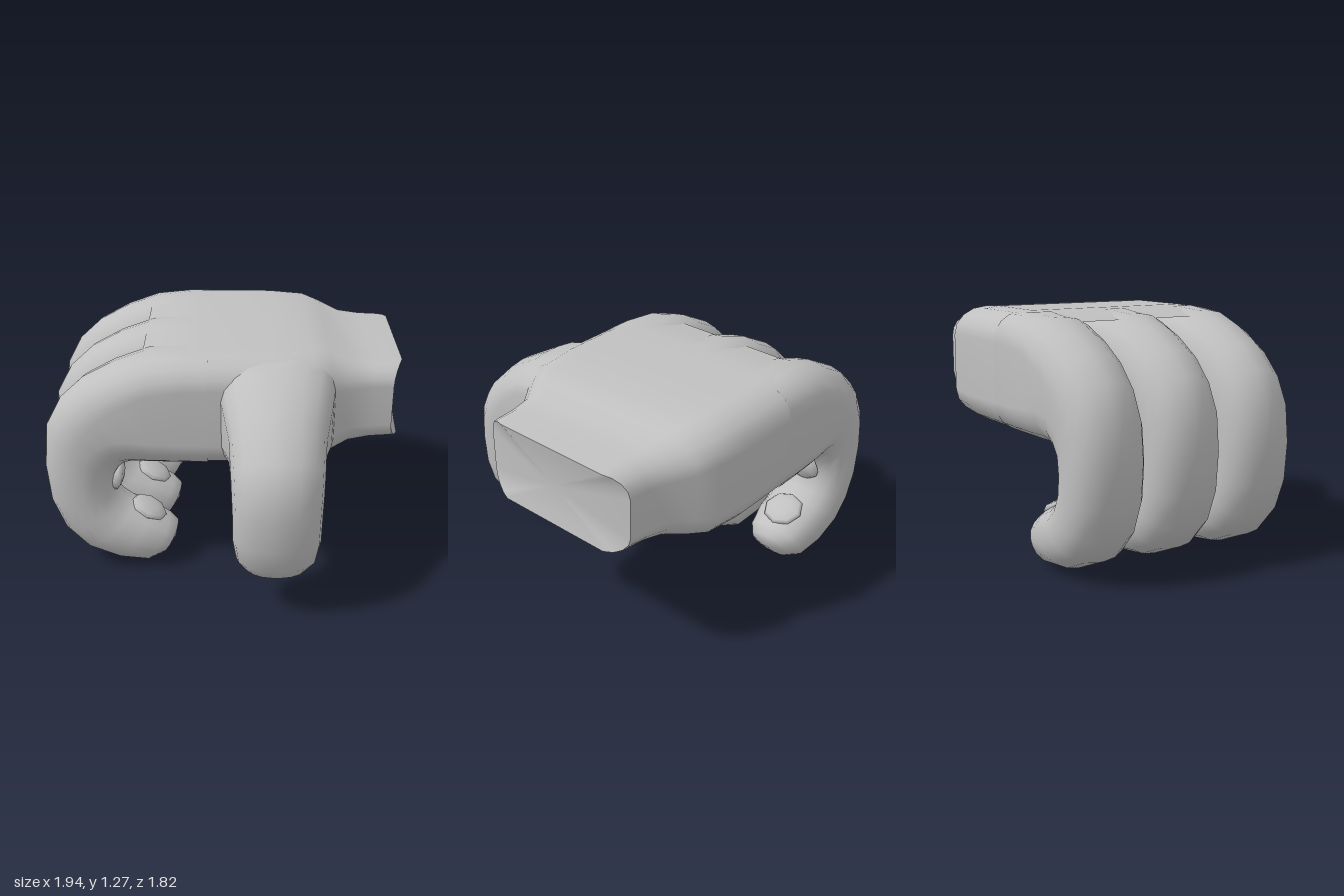
import * as THREE from 'three';

const V = (x, y, z) => new THREE.Vector3(x, y, z);
const ARC = 4; // segments per rounded corner

// Rounded cross-section: centre c, half axes u and v, corner fractions fu and fv
function ring({ c, u, v, fu, fv }) {
  const pts = [];
  [[1, 1], [-1, 1], [-1, -1], [1, -1]].forEach(([su, sv], q) => {
    for (let k = 0; k <= ARC; k++) {
      const a = (q + k / ARC) * Math.PI / 2;
      pts.push(c.clone()
        .addScaledVector(u, su * (1 - fu) + fu * Math.cos(a))
        .addScaledVector(v, sv * (1 - fv) + fv * Math.sin(a)));
    }
  });
  return pts;
}

// Smooth skin over the sections, with an optional closing point at the end
function loft(sections, tip, bend) {
  const rings = sections.map(ring), n = rings[0].length, pos = [], idx = [];
  rings.forEach((r, i) => r.forEach((p) => {
    if (bend) bend(p, i);
    pos.push(p.x, p.y, p.z);
  }));
  for (let i = 0; i < rings.length - 1; i++) {
    for (let j = 0; j < n; j++) {
      const a = i * n + j, b = i * n + (j + 1) % n;
      idx.push(a, b, b + n, a, b + n, a + n);
    }
  }
  if (tip) {
    const base = (rings.length - 1) * n;
    pos.push(tip.x, tip.y, tip.z);
    for (let j = 0; j < n; j++) idx.push(base + j, base + (j + 1) % n, base + n);
  }
  const g = new THREE.BufferGeometry();
  g.setAttribute('position', new THREE.Float32BufferAttribute(pos, 3));
  g.setIndex(idx);
  g.computeVertexNormals();
  return g;
}

export function createModel() {
  const group = new THREE.Group();
  const skin = new THREE.MeshStandardMaterial({ color: 0xc0c0c0 });
  skin.name = 'plain grey';
  const add = (name, geo, parent = group) => {
    const m = new THREE.Mesh(geo, skin);
    m.name = name;
    parent.add(m);
    return m;
  };

  // Palm narrowing to the wrist: x, bottom, top, back z, front z, corner fractions
  const palmSection = ([x, y0, y1, z0, z1, fu, fv]) => ({
    c: V(x, (y0 + y1) / 2, (z0 + z1) / 2),
    u: V(0, (y1 - y0) / 2, 0), v: V(0, 0, (z1 - z0) / 2), fu, fv,
  });
  const wristZ = -0.255;
  const rimX = (z) => 0.89 + 0.11 * (1 - Math.min(1, ((z - wristZ) / 0.465) ** 2));
  const palm = [
    [-0.45, 0.68, 1.225, -0.87, 0.36, 0.6, 0.25],
    [-0.3, 0.645, 1.255, -0.905, 0.39, 0.5, 0.3],
    [-0.15, 0.64, 1.27, -0.91, 0.4, 0.5, 0.3],
    [0.25, 0.64, 1.27, -0.91, 0.4, 0.5, 0.3],
    [0.45, 0.65, 1.258, -0.89, 0.38, 0.5, 0.3],
    [0.55, 0.67, 1.23, -0.84, 0.32, 0.55, 0.32],
    [0.66, 0.705, 1.19, -0.765, 0.245, 0.55, 0.32],
    [0.78, 0.725, 1.178, -0.733, 0.22, 0.5, 0.3],
    [0.88, 0.73, 1.175, -0.722, 0.212, 0.5, 0.28],
    [0.9, 0.735, 1.17, -0.72, 0.21, 0.5, 0.28],
  ];
  add('palm', loft(palm.map(palmSection), null, (p, i) => {
    if (i === palm.length - 1) p.x = rimX(p.z);
  }));

  // Hollowed end face of the wrist
  const scales = [1, 0.8, 0.6, 0.4, 0.2];
  const rim = palmSection(palm[palm.length - 1]);
  add('wristEnd', loft(scales.map((s) => ({
    ...rim, u: rim.u.clone().multiplyScalar(s), v: rim.v.clone().multiplyScalar(s),
  })), V(0.925, rim.c.y, wristZ), (p, i) => {
    const s = scales[i];
    p.x = 0.925 + (rimX(wristZ + (p.z - wristZ) / s) - 0.925) * s * s;
  }));

  // Curled digits: outer point, inner point, half width, corner fractions
  const digit = (rows, place, side) => rows.map(([ao, yo, ai, yi, w, fu, fv, m = 0]) => {
    const o = place(ao, yo), n = place(ai, yi);
    return {
      c: o.clone().add(n).multiplyScalar(0.5).addScaledVector(side, m),
      u: side.clone().multiplyScalar(w),
      v: o.clone().sub(n).multiplyScalar(0.5), fu, fv,
    };
  });

  const fingerRows = [
    [-0.1, 1.262, -0.1, 0.648, 0.215, 0.7, 0.5],
    [-0.22, 1.265, -0.24, 0.645, 0.217, 0.75, 0.5],
    [-0.42, 1.25, -0.42, 0.64, 0.217, 0.85, 0.55],
    [-0.6, 1.19, -0.51, 0.638, 0.21, 0.9, 0.65],
    [-0.77, 1.1, -0.555, 0.625, 0.203, 0.9, 0.75],
    [-0.9, 0.98, -0.585, 0.595, 0.197, 0.9, 0.8],
    [-0.98, 0.83, -0.61, 0.55, 0.195, 0.9, 0.85],
    [-1.0, 0.62, -0.62, 0.495, 0.195, 0.9, 0.85],
    [-0.98, 0.4, -0.612, 0.44, 0.195, 0.9, 0.85],
    [-0.91, 0.22, -0.58, 0.39, 0.195, 0.9, 0.85],
    [-0.8, 0.1, -0.52, 0.345, 0.195, 0.9, 0.85],
    [-0.62, 0.025, -0.42, 0.305, 0.19, 0.9, 0.85],
    [-0.46, 0, -0.32, 0.24, 0.165, 0.9, 0.9],
    [-0.37, 0.03, -0.275, 0.2, 0.115, 0.95, 0.95],
  ];
  const fingerGeo = loft(
    digit(fingerRows, (x, y) => V(x, y, 0), V(0, 0, 1)), V(-0.29, 0.115, 0));

  const thumbRows = [
    [0.1, 1.26, 0.1, 0.65, 0.3, 0.6, 0.5],
    [0.22, 1.262, 0.24, 0.645, 0.32, 0.7, 0.5],
    [0.41, 1.22, 0.38, 0.64, 0.292, 0.85, 0.55],
    [0.64, 1.09, 0.455, 0.63, 0.25, 0.9, 0.7],
    [0.82, 0.92, 0.495, 0.595, 0.24, 0.9, 0.8],
    [0.885, 0.8, 0.515, 0.55, 0.235, 0.9, 0.85],
    [0.905, 0.65, 0.53, 0.49, 0.23, 0.9, 0.85],
    [0.89, 0.45, 0.53, 0.41, 0.228, 0.9, 0.85],
    [0.85, 0.31, 0.53, 0.33, 0.21, 0.9, 0.85],
    [0.79, 0.235, 0.56, 0.255, 0.165, 0.9, 0.9],
    [0.74, 0.217, 0.62, 0.222, 0.09, 0.95, 0.95],
  ];
  add('thumb', loft(
    digit(thumbRows, (z, y) => V(0.262, y, z), V(1, 0, 0)), V(0.262, 0.208, 0.69)));

  // Flattened pads on the inner sides of the digits
  const padGeo = new THREE.SphereGeometry(1, 8, 6);
  const pad = (name, parent, pos, size, turn = 0) => {
    const m = add(name, padGeo, parent);
    m.position.copy(pos);
    m.scale.copy(size);
    m.rotation.z = turn;
  };
  [['ringFinger', -0.695], ['middleFinger', -0.255], ['indexFinger', 0.185]].forEach(([name, z]) => {
    const finger = new THREE.Group();
    finger.name = name;
    finger.position.z = z;
    group.add(finger);
    add(name + 'Body', fingerGeo, finger);
    pad('middlePad', finger, V(-0.607, 0.52, 0), V(0.04, 0.09, 0.105), -0.2);
    pad('tipPad', finger, V(-0.44, 0.3, 0), V(0.11, 0.035, 0.115), -0.45);
  });
  pad('thumbPad', group, V(0.262, 0.42, 0.54), V(0.1, 0.1, 0.04));

  return group;
}
